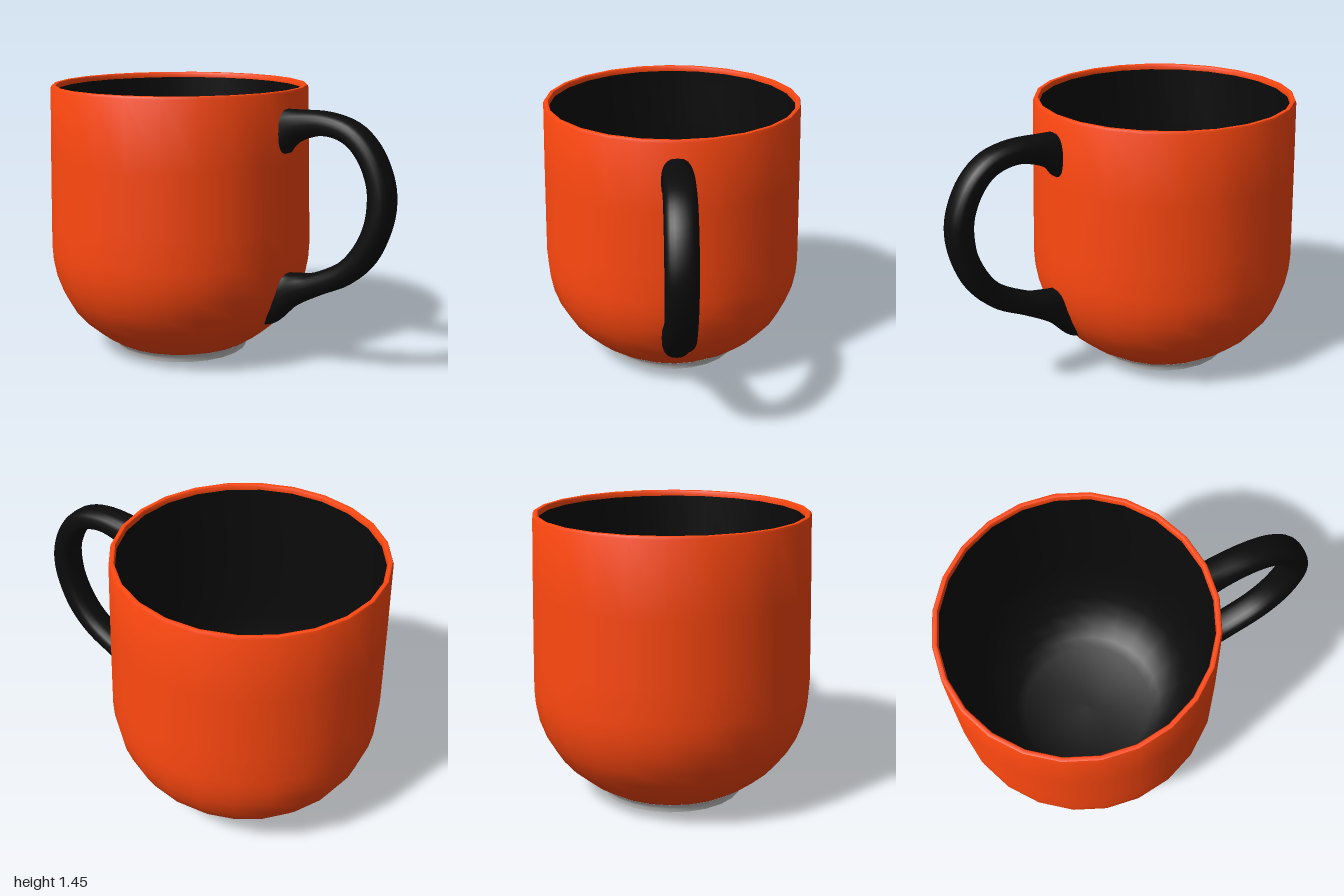
import * as THREE from 'three';
import { toCreasedNormals } from 'three/addons/utils/BufferGeometryUtils.js';

const CUP_X = -0.295; // axis of the cup
const SIDES = 24;

const orange = new THREE.MeshStandardMaterial({ color: 0xff4810 });
const black = new THREE.MeshStandardMaterial({ color: 0x0b0b0b });
const grey = new THREE.MeshStandardMaterial({ color: 0xcccccc });

// Turned part from [radius, y] pairs
function turned(name, profile, material) {
  const points = profile.map(([r, y]) => new THREE.Vector2(r, y));
  const lathe = new THREE.LatheGeometry(points, SIDES);
  const mesh = new THREE.Mesh(toCreasedNormals(lathe, Math.PI / 5), material);
  mesh.name = name;
  mesh.position.x = CUP_X;
  return mesh;
}

// Handle: rounded sections spanning the outer and inner edge curves
function makeHandle() {
  const edges = [ // outer x, y, inner x, y
    [0.375, 1.36, 0.375, 1.10], [0.45, 1.36, 0.45, 1.19], [0.62, 1.36, 0.60, 1.24],
    [0.78, 1.32, 0.73, 1.215], [0.90, 1.22, 0.81, 1.14], [0.975, 1.08, 0.86, 1.03],
    [1.0, 0.94, 0.868, 0.93], [0.975, 0.79, 0.85, 0.82], [0.90, 0.63, 0.79, 0.70],
    [0.77, 0.505, 0.70, 0.605], [0.60, 0.42, 0.55, 0.53], [0.45, 0.335, 0.47, 0.515],
    [0.345, 0.235, 0.42, 0.51], [0.28, 0.205, 0.39, 0.51],
  ];
  const outer = new THREE.SplineCurve(edges.map(e => new THREE.Vector2(e[0], e[1])));
  const inner = new THREE.SplineCurve(edges.map(e => new THREE.Vector2(e[2], e[3])));
  const steps = 52, sides = 20, halfWidth = 0.08;
  const soften = v => Math.sign(v) * Math.pow(Math.abs(v), 0.8);
  const positions = [], index = [];
  for (let i = 0; i <= steps; i++) {
    const o = outer.getPoint(i / steps), n = inner.getPoint(i / steps);
    for (let j = 0; j < sides; j++) {
      const a = (j / sides) * Math.PI * 2;
      const k = (1 + soften(Math.cos(a))) / 2;
      positions.push(n.x + (o.x - n.x) * k, n.y + (o.y - n.y) * k, halfWidth * soften(Math.sin(a)));
      if (i < steps) {
        const next = (j + 1) % sides, row = i * sides, up = row + sides;
        index.push(row + j, row + next, up + next, row + j, up + next, up + j);
      }
    }
  }
  const geometry = new THREE.BufferGeometry();
  geometry.setAttribute('position', new THREE.Float32BufferAttribute(positions, 3));
  geometry.setIndex(index);
  geometry.computeVertexNormals();
  const mesh = new THREE.Mesh(geometry, black);
  mesh.name = 'handle';
  return mesh;
}

export function createModel() {
  const group = new THREE.Group();
  group.name = 'mug';

  // Outer shell, bowl base up to the rim and just over its inner lip
  group.add(turned('body', [
    [0.34, 0.05], [0.385, 0.05], [0.47, 0.105], [0.545, 0.17], [0.605, 0.24], [0.65, 0.32],
    [0.683, 0.41], [0.70, 0.50], [0.705, 0.58], [0.702, 0.75], [0.695, 1.08],
    [0.686, 1.435], [0.681, 1.447], [0.672, 1.45], [0.661, 1.447], [0.656, 1.435], [0.656, 1.42],
  ], orange));

  // Inside wall and floor
  group.add(turned('lining', [
    [0.656, 1.42], [0.664, 1.08], [0.67, 0.75], [0.671, 0.58], [0.661, 0.48],
    [0.638, 0.39], [0.60, 0.30], [0.55, 0.22], [0.48, 0.15], [0.42, 0.11], [0.36, 0.09], [0, 0.09],
  ], black));

  // Flared foot ring with a recessed underside
  group.add(turned('foot', [
    [0, 0.03], [0.295, 0.03], [0.312, 0.022], [0.322, 0], [0.36, 0],
    [0.363, 0.02], [0.372, 0.037], [0.39, 0.052],
  ], grey));

  group.add(makeHandle());
  return group;
}
